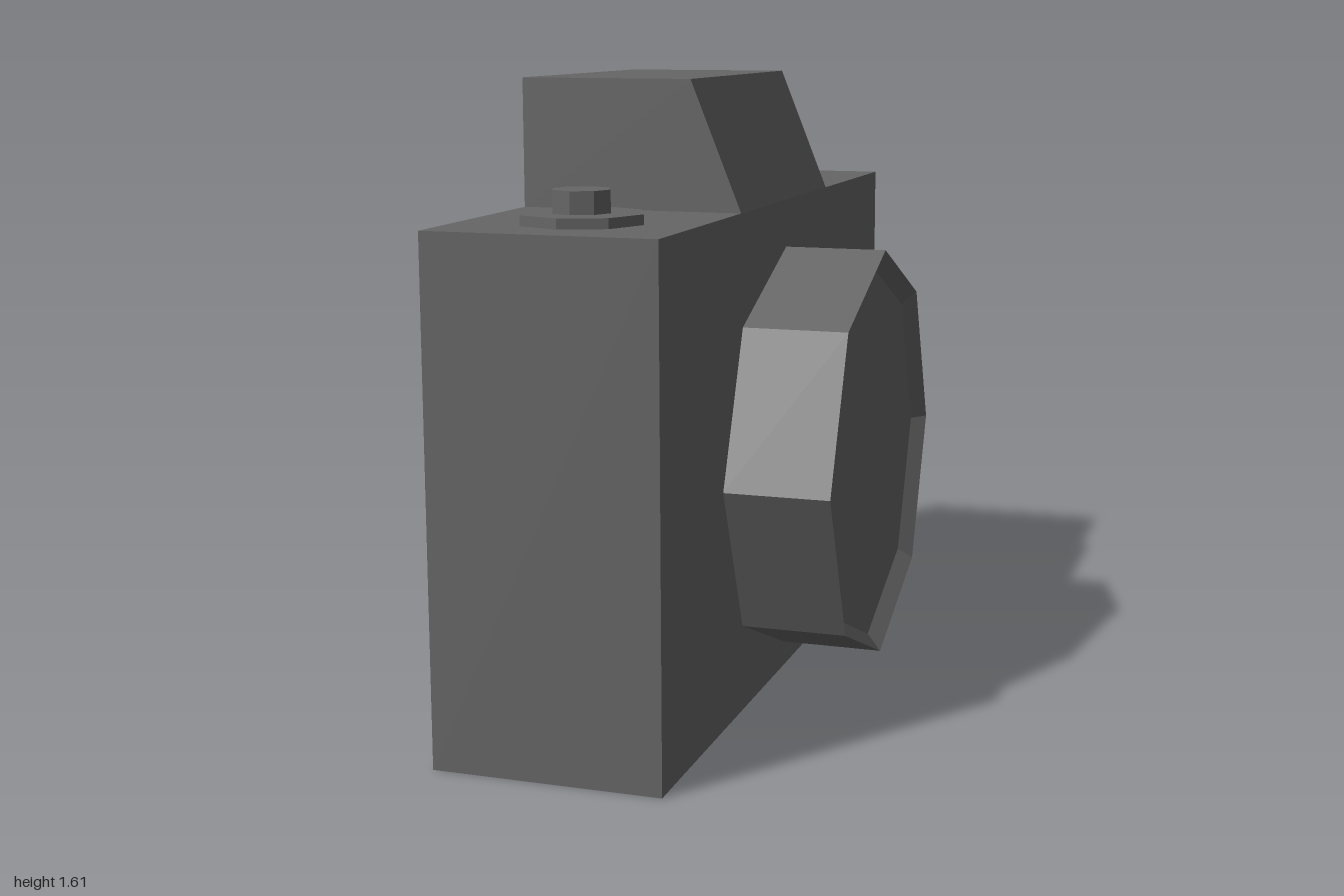
import * as THREE from 'three';

export function createModel() {
  const model = new THREE.Group();
  model.name = 'camera';

  const darkGrey = new THREE.MeshStandardMaterial({ color: 0x666666, flatShading: true });
  darkGrey.name = 'dark grey';

  const add = (name, geometry, x, y, z) => {
    const mesh = new THREE.Mesh(geometry, darkGrey);
    mesh.name = name;
    mesh.position.set(x, y, z);
    model.add(mesh);
    return mesh;
  };

  // Main box, lens side facing +x
  const bodyHeight = 1.28;
  add('body', new THREE.BoxGeometry(0.575, bodyHeight, 2), -0.1375, bodyHeight / 2, 0);

  // Viewfinder hump with a sloped face above the lens
  const profile = new THREE.Shape([
    new THREE.Vector2(-0.425, 0),
    new THREE.Vector2(0.15, 0),
    new THREE.Vector2(0.02, 0.325),
    new THREE.Vector2(-0.425, 0.325),
  ]);
  const hump = new THREE.ExtrudeGeometry(profile, { depth: 0.8, bevelEnabled: false });
  add('viewfinderHump', hump, 0, bodyHeight, -0.4);

  // Octagonal lens barrel with a bevelled rim and recessed glass
  const lensProfile = [
    [0.545, 0], [0.545, 0.27], [0.5, 0.235], [0, 0.235],
  ].map(([r, h]) => new THREE.Vector2(r, h));
  const lens = add('lens', new THREE.LatheGeometry(lensProfile, 8), 0.15, 0.61, 0);
  lens.rotation.z = -Math.PI / 2;

  // Shutter dial and button
  add('shutterDial', new THREE.CylinderGeometry(0.155, 0.155, 0.025, 8), -0.137, bodyHeight + 0.0125, 0.73);
  add('shutterButton', new THREE.CylinderGeometry(0.073, 0.073, 0.055, 8), -0.137, bodyHeight + 0.0525, 0.73);

  return model;
}
